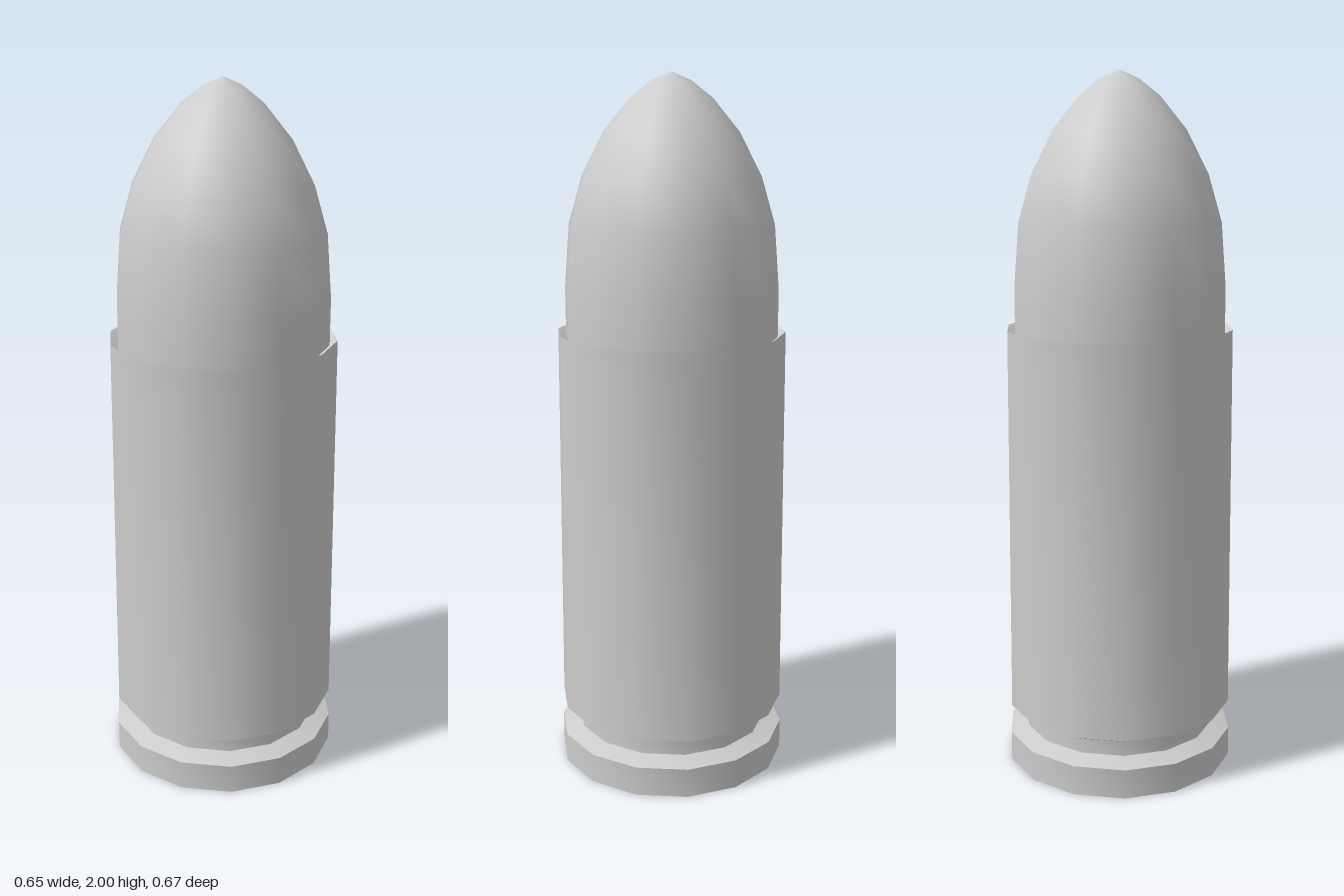
import * as THREE from 'three';
import { toCreasedNormals } from 'three/addons/utils/BufferGeometryUtils.js';

const SIDES = 14;

// Turned solid from [radius, height] pairs, bottom to top
function turned(profile) {
  return new THREE.LatheGeometry(profile.map(([r, y]) => new THREE.Vector2(r, y)), SIDES);
}

export function createModel() {
  const model = new THREE.Group();
  model.name = 'cartridge';
  const metal = new THREE.MeshStandardMaterial({ color: 0xcccccc });
  metal.name = 'grey metal';

  const add = (name, geometry) => {
    const mesh = new THREE.Mesh(geometry, metal);
    mesh.name = name;
    model.add(mesh);
  };

  // Base rim, extractor groove and tapered case with a slightly sunken mouth
  add('case', toCreasedNormals(turned([
    [0, 0], [0.333, 0], [0.333, 0.086],
    [0.28, 0.104], [0.28, 0.147],
    [0.33, 0.172], [0.324, 1.29], [0.302, 1.275],
  ]), 0.6));

  // Smooth rounded nose
  add('bullet', turned([
    [0.302, 1.27], [0.302, 1.41], [0.288, 1.59], [0.25, 1.72],
    [0.188, 1.84], [0.114, 1.93], [0.054, 1.977], [0, 2],
  ]));

  return model;
}
